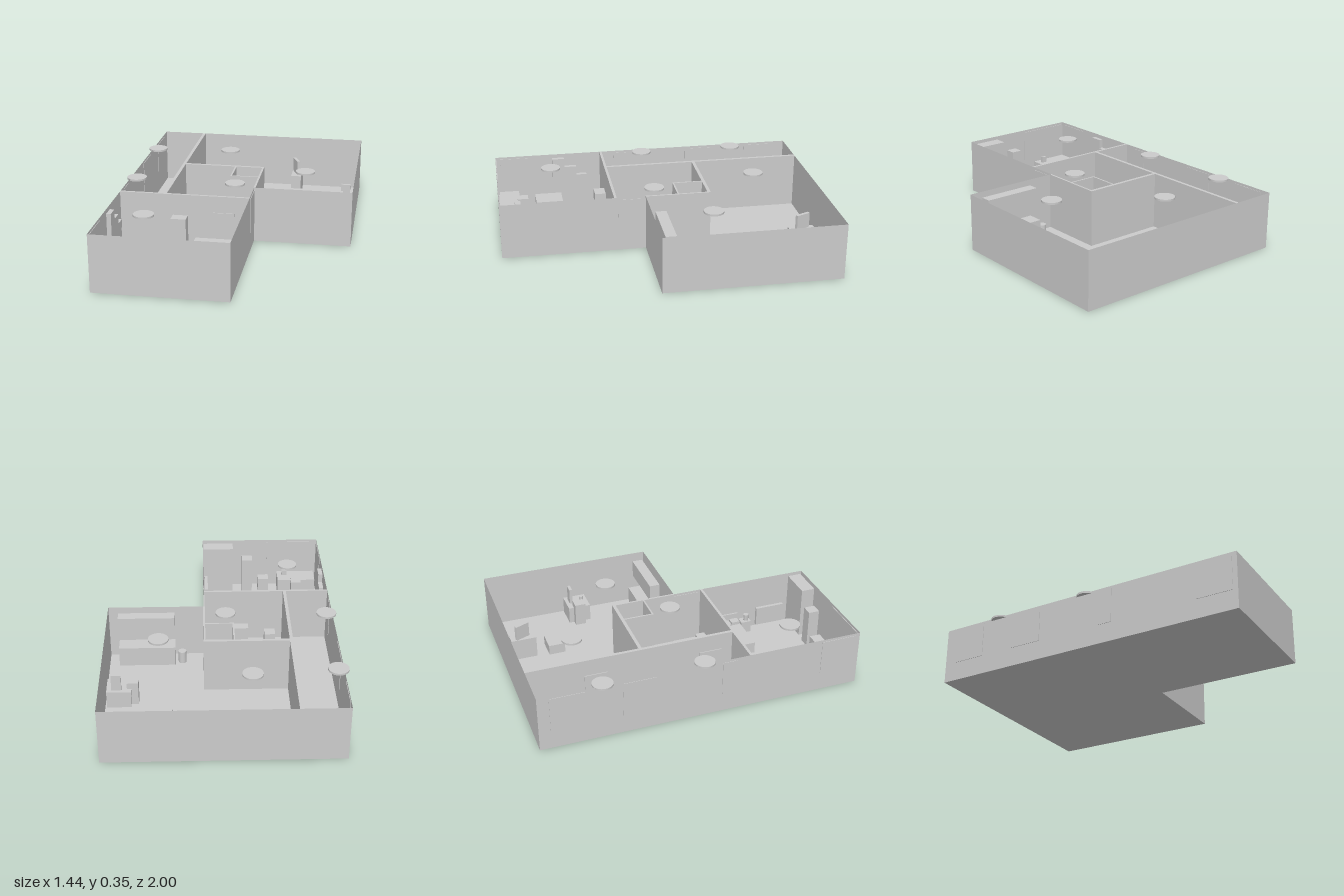
import * as THREE from 'three';

const H = 0.355;

export function createModel() {
  const model = new THREE.Group();
  const mat = new THREE.MeshStandardMaterial({ color: 0xcccccc, flatShading: true });
  const thin = new THREE.MeshStandardMaterial({ color: 0xcccccc, side: THREE.DoubleSide });

  const add = (name, geometry, material = mat, parent = model) => {
    const mesh = new THREE.Mesh(geometry, material);
    mesh.name = name;
    parent.add(mesh);
    return mesh;
  };
  // Box given by its limits on each axis
  const box = (name, x0, x1, y0, y1, z0, z1) => {
    const mesh = add(name, new THREE.BoxGeometry(x1 - x0, y1 - y0, z1 - z0));
    mesh.position.set((x0 + x1) / 2, (y0 + y1) / 2, (z0 + z1) / 2);
    return mesh;
  };
  const disc = (name, x, y, z, r, h, sides = 32) => {
    const mesh = add(name, new THREE.CylinderGeometry(r, r, h, sides), thin);
    mesh.position.set(x, y + h / 2, z);
    return mesh;
  };

  // L-shaped floor and the thin outer walls along its outline
  const outline = [[-0.69, -1], [0.72, -1], [0.72, 0.1], [0.113, 0.1], [0.113, 1], [-0.69, 1]];
  const shape = new THREE.Shape(outline.map(([x, z]) => new THREE.Vector2(x, -z)));
  add('floor', new THREE.ShapeGeometry(shape).rotateX(-Math.PI / 2), thin);
  outline.forEach(([x0, z0], i) => {
    const [x1, z1] = outline[(i + 1) % outline.length];
    const wall = add('outerWall', new THREE.PlaneGeometry(Math.hypot(x1 - x0, z1 - z0), H), thin);
    wall.position.set((x0 + x1) / 2, H / 2, (z0 + z1) / 2);
    wall.rotation.y = -Math.atan2(z1 - z0, x1 - x0);
  });

  // Partition walls: x0, x1, z0, z1
  [
    [-0.42, -0.4, -1, 0.28],
    [-0.69, 0.113, 0.28, 0.296],
    [-0.4, 0.121, -0.31, -0.29],
    [0.109, 0.121, -0.29, 0.1],
    [-0.07, -0.06, -0.29, -0.1],
    [-0.06, 0.109, -0.11, -0.1],
  ].forEach(([x0, x1, z0, z1]) => box('partitionWall', x0, x1, 0, H, z0, z1));

  // Windows and doors as thin panels on the walls
  [[-0.93, -0.72], [-0.5, -0.3], [0.11, 0.2], [0.75, 0.97]].forEach(([z0, z1]) =>
    box('window', -0.693, -0.687, 0.12, 0.34, z0, z1));
  box('frontWindow', -0.68, -0.34, 0.12, 0.34, 0.994, 0.998);
  [[-0.65, -0.51], [0.07, 0.21]].forEach(([z0, z1]) =>
    box('hallDoor', -0.425, -0.42, 0, 0.25, z0, z1));
  box('sideWindow', 0.11, 0.116, 0.12, 0.34, 0.1, 0.27);
  box('wallShelf', -0.11, 0.02, 0.23, 0.25, 0.296, 0.302);

  // Round ceiling lamps
  [[-0.66, -0.61], [-0.655, 0.01], [-0.16, -0.65], [-0.02, 0.025], [0.395, -0.27], [-0.457, 0.645]]
    .forEach(([x, z]) => disc('ceilingLamp', x, 0.343, z, 0.062, 0.012));

  // Living room: kitchen row, bin, coffee table
  box('kitchenCounter', 0.3, 0.657, 0, 0.13, -0.03, 0.07);
  box('wallCupboard', 0.3, 0.657, 0.22, 0.33, 0.003, 0.07);
  disc('bin', 0.256, 0, 0.01, 0.025, 0.08);
  box('coffeeTable', 0.232, 0.366, 0, 0.065, -0.705, -0.6);

  // Television on its stand
  box('televisionStand', 0.248, 0.317, 0, 0.14, -0.94, -0.78);
  const screen = box('television', 0.267, 0.287, 0.14, 0.235, -0.91, -0.815);
  screen.position.x = 0.279;
  screen.rotation.y = 0.4;

  // Desk with screen, cup and chair
  box('desk', 0.56, 0.71, 0, 0.11, -0.48, -0.335);
  box('deskScreen', 0.62, 0.68, 0.11, 0.215, -0.457, -0.438);
  disc('cup', 0.654, 0.11, -0.37, 0.014, 0.025, 20);
  box('deskChair', 0.518, 0.587, 0, 0.15, -0.447, -0.378);

  // Bathroom
  box('toilet', -0.35, -0.28, 0, 0.1, 0.16, 0.23);
  box('washstand', -0.175, -0.045, 0, 0.13, 0.19, 0.25);

  // Bed with headboard, pillows and throw
  box('bed', -0.19, 0.1, 0, 0.075, 0.31, 0.545);
  box('headboard', 0.098, 0.108, 0, 0.13, 0.31, 0.545);
  [0.312, 0.485].forEach((z) => box('pillow', 0.05, 0.097, 0.075, 0.095, z, z + 0.055));
  box('bolster', 0.045, 0.097, 0.075, 0.088, 0.375, 0.48);
  box('bedThrow', -0.102, -0.027, 0.075, 0.08, 0.342, 0.455);
  box('nightstand', 0.05, 0.106, 0, 0.08, 0.555, 0.622);
  disc('nightLamp', 0.08, 0.08, 0.598, 0.018, 0.04, 6);
  box('radiator', 0.082, 0.102, 0.02, 0.145, 0.675, 0.865);

  // Bedroom cupboards and seats
  box('wardrobe', -0.098, 0.109, 0, 0.335, 0.905, 0.992);
  box('tallCabinet', -0.234, -0.163, 0, 0.25, 0.895, 0.965);
  box('lowCabinet', -0.35, -0.277, 0, 0.1, 0.89, 0.96);
  box('wallCabinet', -0.36, -0.266, 0, 0.225, 0.305, 0.375);
  box('lowTable', -0.682, -0.535, 0, 0.075, 0.567, 0.745);
  box('studyDesk', -0.675, -0.415, 0, 0.11, 0.855, 0.985);
  box('studyScreen', -0.482, -0.446, 0.11, 0.15, 0.925, 0.94);
  box('studyStool', -0.573, -0.505, 0, 0.12, 0.8, 0.87);

  // Stepped cabinets hung on the side wall
  [[0.54, 0.62, 0.33], [0.46, 0.54, 0.27], [0.39, 0.46, 0.21]].forEach(([z0, z1, top]) =>
    box('steppedShelf', -0.688, -0.66, 0.16, top, z0, z1));

  return model;
}
